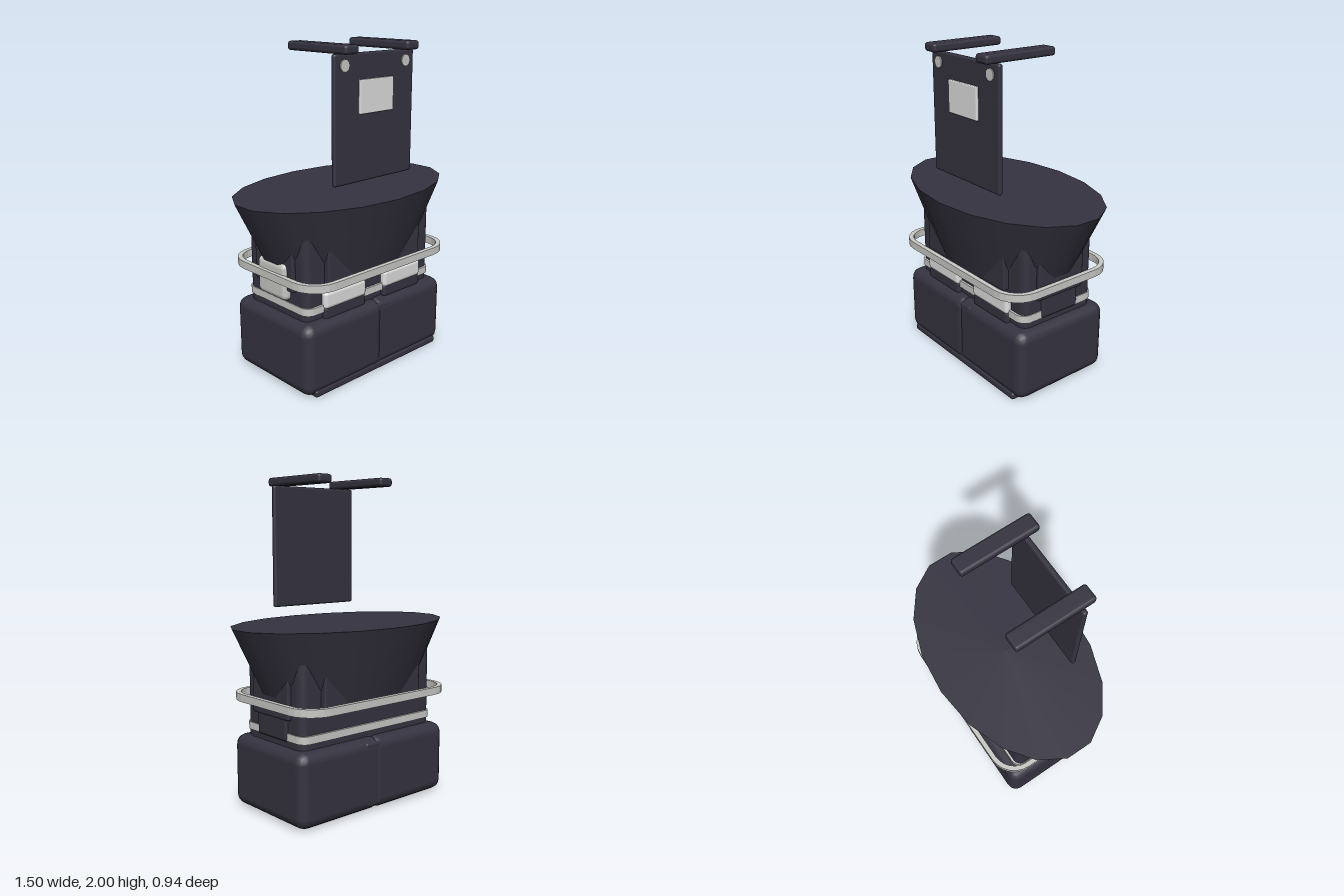
import * as THREE from 'three';
import { RoundedBoxGeometry } from 'three/addons/geometries/RoundedBoxGeometry.js';

const mat = (name, color) => {
  const m = new THREE.MeshStandardMaterial({ color });
  m.name = name;
  return m;
};

export function createModel() {
  const group = new THREE.Group();
  const dark = mat('dark fabric', 0x353340);
  const grey = mat('grey strap', 0xc8c8c5);
  const white = mat('pale flap', 0xdedede);

  const add = (name, geometry, material) => {
    const m = new THREE.Mesh(geometry, material);
    m.name = name;
    group.add(m);
    return m;
  };

  // Bevelled block given by its min and max on each axis
  const block = (name, [x0, x1], [y0, y1], [z0, z1], r, material, seg = 2) => {
    const m = add(name, new RoundedBoxGeometry(x1 - x0, y1 - y0, z1 - z0, seg, r), material);
    m.position.set((x0 + x1) / 2, (y0 + y1) / 2, (z0 + z1) / 2);
    return m;
  };

  // Rounded rectangle outline
  const outline = (target, hw, hd, r) => {
    target.moveTo(-hw + r, -hd);
    target.lineTo(hw - r, -hd);
    target.absarc(hw - r, -hd + r, r, -Math.PI / 2, 0);
    target.absarc(hw - r, hd - r, r, 0, Math.PI / 2);
    target.absarc(-hw + r, hd - r, r, Math.PI / 2, Math.PI);
    target.absarc(-hw + r, -hd + r, r, Math.PI, Math.PI * 1.5);
    return target;
  };

  // Upright prism of that outline, hollow when a wall thickness is given
  const prism = (name, hw, hd, r, y0, y1, material, wall = 0) => {
    const shape = outline(new THREE.Shape(), hw, hd, r);
    if (wall) shape.holes.push(outline(new THREE.Path(), hw - wall, hd - wall, r - wall));
    const g = new THREE.ExtrudeGeometry(shape, { depth: y1 - y0, bevelEnabled: false, curveSegments: 3 });
    g.rotateX(-Math.PI / 2);
    g.translate(0, y0, 0);
    return add(name, g, material);
  };

  // Base: two bulky halves meeting at an offset seam, with a lip along the front
  block('baseRight', [-0.59, 0.037], [0.005, 0.45], [-0.342, 0.345], 0.065, dark);
  block('baseLeft', [-0.04, 0.59], [0.005, 0.45], [-0.338, 0.34], 0.065, dark);
  block('seamFill', [-0.1, 0.1], [0.03, 0.43], [-0.335, 0.335], 0.02, dark);
  block('frontLip', [-0.53, 0.53], [0, 0.045], [0.25, 0.348], 0.015, dark);

  // Waist and its raised panels, whose corners break through the flare
  prism('waist', 0.53, 0.268, 0.05, 0.42, 0.95, dark);
  block('frontBackPanel', [-0.39, 0.39], [0.652, 0.88], [-0.305, 0.305], 0.012, dark);
  block('sidePanel', [-0.553, 0.553], [0.61, 0.86], [-0.17, 0.175], 0.012, dark);
  block('sidePouch', [0.45, 0.545], [0.48, 0.63], [-0.14, 0.14], 0.02, dark);

  // Straps
  prism('lowerBelt', 0.535, 0.282, 0.06, 0.487, 0.533, grey, 0.03);
  prism('upperHoop', 0.597, 0.402, 0.17, 0.663, 0.71, grey, 0.03);

  // Front pouches with pale flaps
  for (const s of [-1, 1]) {
    const x = s * 0.245;
    block('pouch', [x - 0.165, x + 0.165], [0.435, 0.52], [0.2, 0.297], 0.02, dark);
    block('pouchFlap', [x - 0.168, x + 0.168], [0.502, 0.612], [0.2, 0.303], 0.025, white);
  }

  // Pouch on the right side
  block('rightPouch', [-0.575, -0.5], [0.545, 0.775], [-0.13, 0.13], 0.035, grey);

  // Flared oval top
  const flare = add('flare', new THREE.CylinderGeometry(1, 0.69, 0.47, 18), dark);
  flare.scale.set(0.76, 1, 0.47);
  flare.position.y = 0.89;

  // Upright board with a plate and two studs
  block('board', [-0.32, 0.32], [1.213, 1.95], [0.248, 0.28], 0.014, dark);
  block('boardPlate', [-0.135, 0.135], [1.608, 1.802], [0.27, 0.296], 0.006, white);
  for (const s of [-1, 1]) {
    const stud = add('stud', new THREE.CylinderGeometry(0.035, 0.035, 0.02, 12), grey);
    stud.rotation.x = Math.PI / 2;
    stud.position.set(s * 0.245, 1.885, 0.277);

    // Shoulder bar
    block('shoulderBar', [s * 0.245 - 0.052, s * 0.245 + 0.052], [1.948, 2], [-0.145, 0.345], 0.017, dark);
  }

  return group;
}
